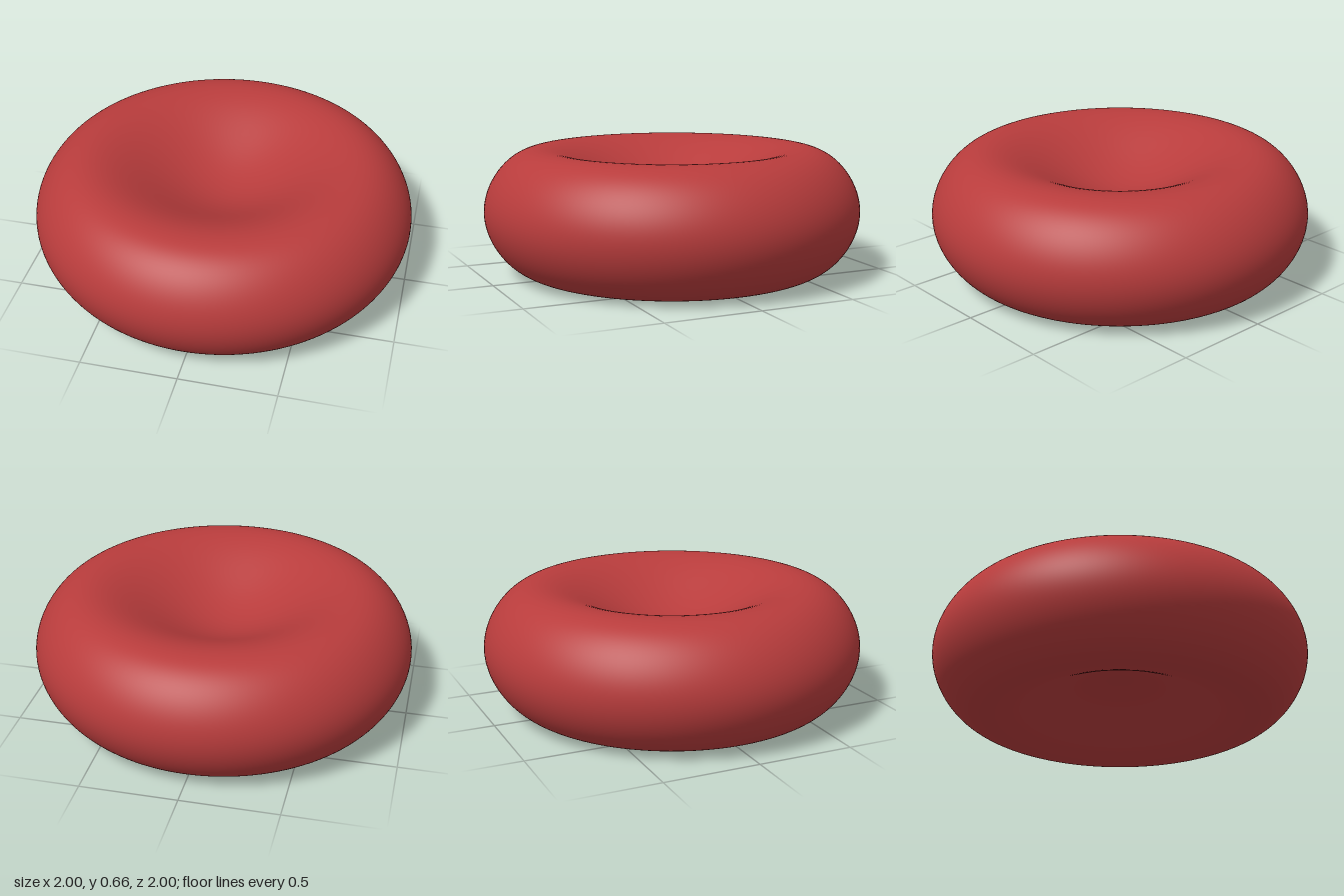
import * as THREE from 'three';

// Half thickness of the dimpled disc, at radius r = sin(t) and rim factor c = cos(t)
function halfThickness(r, c) {
  const q = r * r;
  return 2 * c * (0.0518 + 0.50065 * q - 0.28069 * q * q);
}

export function createModel() {
  const group = new THREE.Group();
  group.name = 'biconcaveDisc';
  const red = new THREE.MeshStandardMaterial({ color: 0xb83c3c });
  red.name = 'red';

  // Profile from the bottom centre, round the rim, to the top centre
  const steps = 96;
  const points = [];
  for (let i = 0; i <= steps; i++) {
    const t = (i / steps) * Math.PI;
    const r = i === 0 || i === steps ? 0 : Math.sin(t);
    points.push(new THREE.Vector2(r, -halfThickness(r, Math.cos(t))));
  }

  const disc = new THREE.Mesh(new THREE.LatheGeometry(points, 128), red);
  disc.name = 'disc';
  // Lift so the lowest ring touches the ground
  disc.position.y = -Math.min(...points.map((p) => p.y));
  group.add(disc);
  return group;
}
